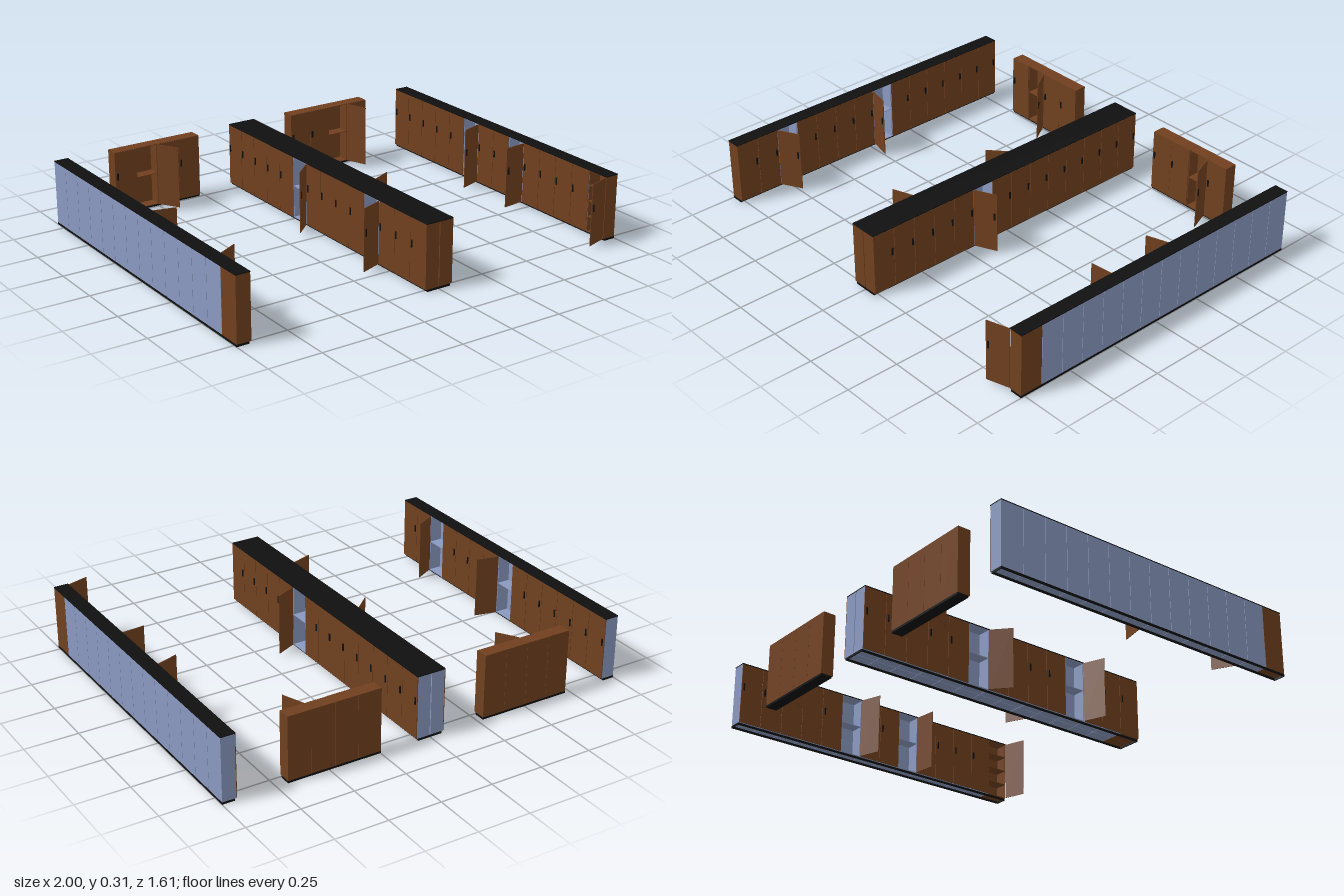
import * as THREE from 'three';

const brown = new THREE.MeshStandardMaterial({ color: 0x70401f });
const blue = new THREE.MeshStandardMaterial({ color: 0x8a99c0 });
const black = new THREE.MeshStandardMaterial({ color: 0x101010 });

const T = 0.003;       // panel thickness
const BASE = 0.01;     // plinth height
const TOP = 0.31;      // overall height
const GAP = 0.002;     // gap between neighbouring units
const Z_FRONT = 0.77, Z_BACK = -0.81, COUNT = 14;
const PITCH = (Z_FRONT - Z_BACK) / COUNT;

function box(parent, name, mat, [w, h, d], [x, y, z]) {
  const mesh = new THREE.Mesh(new THREE.BoxGeometry(w, h, d), mat);
  mesh.name = name;
  mesh.position.set(x, y, z);
  parent.add(mesh);
  return mesh;
}

// One locker: front at z = 0 facing +z, hinge on side s (+1 or -1), door opened by angle in degrees
function locker({ w, d, top, mat, s, angle = 0, shelves = [0.165] }) {
  const g = new THREE.Group();
  g.name = 'locker';
  const h = top - BASE, mid = (top + BASE) / 2, inner = d - T;
  for (const side of [-1, 1]) {
    box(g, 'sidePanel', mat, [T, h, inner], [side * (w - T) / 2, mid, -T - inner / 2]);
  }
  box(g, 'backPanel', mat, [w - 2 * T, h, T], [0, mid, -d + T / 2]);
  const board = (name, y) =>
    box(g, name, mat, [w - 2 * T, T, inner - T], [0, y, -T - (inner - T) / 2]);
  board('bottomPanel', BASE + T / 2);
  board('topPanel', top - T / 2);
  shelves.forEach((y) => board('shelf', y));

  // Door swings on a pivot at the hinge edge
  const door = new THREE.Group();
  door.name = 'door';
  door.position.x = s * w / 2;
  door.rotation.y = s * THREE.MathUtils.degToRad(angle);
  box(door, 'doorPanel', brown, [w, h - 0.002, T], [-s * w / 2, mid, -T / 2]);
  box(door, 'handle', black, [0.007, 0.034, 0.004], [-s * (w - 0.012), 0.19, 0.002]);
  g.add(door);
  return g;
}

// Row of lockers along z with its front at x, facing dir (+1 = +x); open maps locker index to angle
function lockerRow(name, x, dir, open) {
  const row = new THREE.Group();
  row.name = name;
  for (let i = 0; i < COUNT; i++) {
    const end = i === 0;
    const unit = locker({
      w: PITCH - GAP, d: 0.068, top: TOP - 0.004, mat: end ? brown : blue,
      s: -dir, angle: open[i], shelves: end ? [0.085, 0.16, 0.235] : [0.165],
    });
    unit.position.set(x, 0, Z_FRONT - (i + 0.5) * PITCH);
    unit.rotation.y = dir * Math.PI / 2;
    row.add(unit);
  }
  return row;
}

// Black worktop and hollow plinth shared by a run of lockers
function topAndPlinth(x0, x1, kick0, kick1) {
  const g = new THREE.Group();
  g.name = 'topAndPlinth';
  const len = Z_FRONT - Z_BACK, zc = (Z_FRONT + Z_BACK) / 2;
  box(g, 'worktop', black, [x1 - x0, 0.004, len], [(x0 + x1) / 2, TOP - 0.002, zc]);
  for (const x of [kick0 + 0.002, kick1 - 0.002]) {
    box(g, 'plinthSide', black, [0.004, BASE, len], [x, BASE / 2, zc]);
  }
  for (const z of [Z_FRONT - 0.002, Z_BACK + 0.002]) {
    box(g, 'plinthEnd', black, [kick1 - kick0 - 0.008, BASE, 0.004], [(kick0 + kick1) / 2, BASE / 2, z]);
  }
  return g;
}

// Freestanding wooden cabinet of four lockers at the back
function backCabinet(name, x0, open) {
  const g = new THREE.Group();
  g.name = name;
  const w = 0.1122, front = -0.748;
  for (let i = 0; i < 4; i++) {
    const unit = locker({ w: w - GAP / 2, d: 0.062, top: TOP, mat: brown, s: 1, angle: open[i] });
    unit.position.set(x0 + (i + 0.5) * w, 0, front);
    g.add(unit);
  }
  box(g, 'plinth', black, [4 * w, BASE, 0.054], [x0 + 2 * w, BASE / 2, front - 0.035]);
  return g;
}

export function createModel() {
  const model = new THREE.Group();
  model.name = 'lockerRoom';
  model.add(
    lockerRow('rightRow', -0.931, 1, { 2: 62, 7: 103 }),
    topAndPlinth(-1, -0.931, -1, -0.941),
    lockerRow('centreRowRightSide', -0.07, -1, { 3: 110, 8: 132 }),
    lockerRow('centreRowLeftSide', 0.07, 1, { 5: 65 }),
    topAndPlinth(-0.07, 0.07, -0.06, 0.06),
    lockerRow('leftRow', 0.931, -1, { 0: 107, 5: 96, 8: 108 }),
    topAndPlinth(0.931, 1, 0.941, 1),
    backCabinet('backCabinetRight', -0.725, { 1: 122 }),
    backCabinet('backCabinetLeft', 0.248, { 2: 111 }),
  );
  return model;
}
